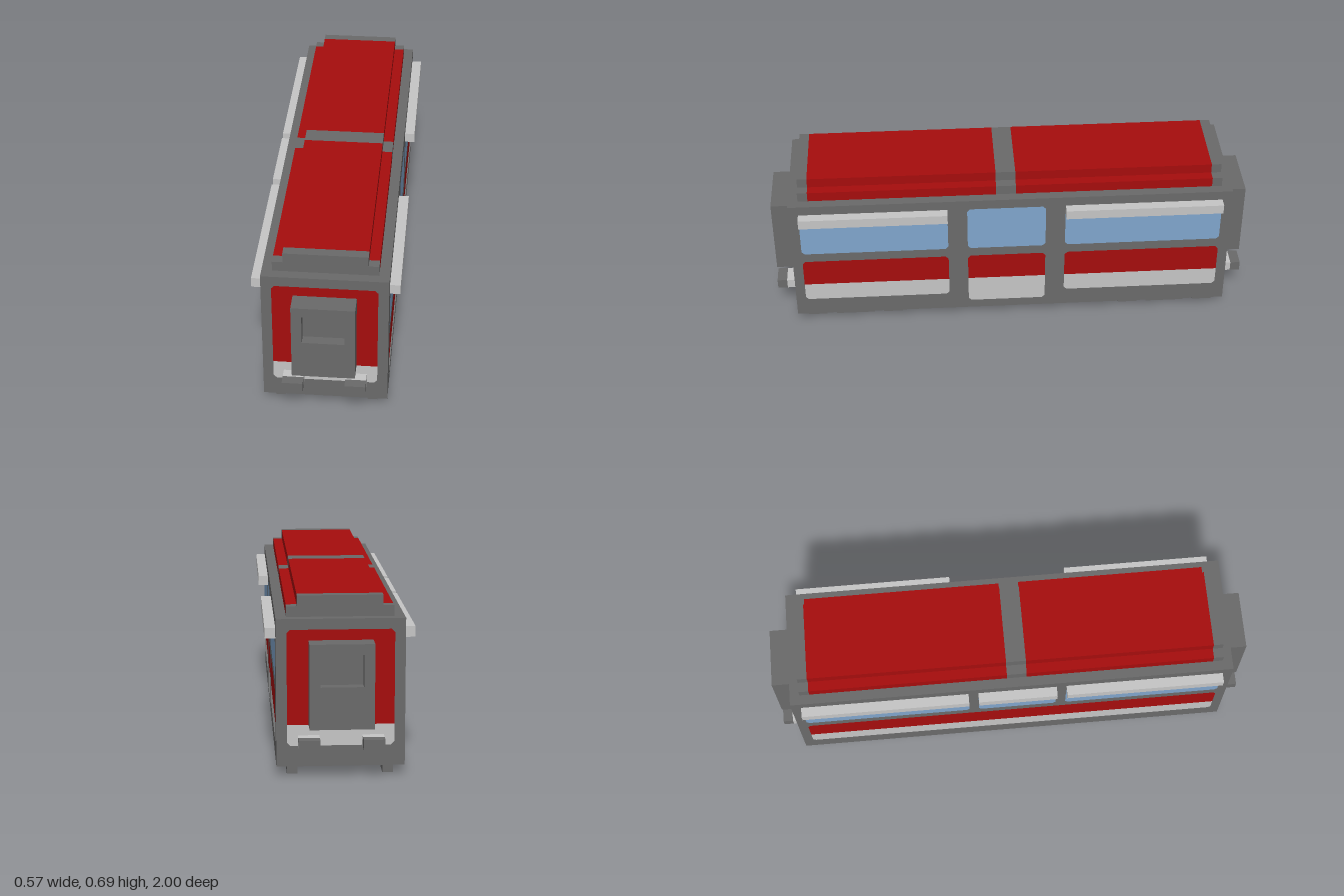
import * as THREE from 'three';

const U = 2 / 49; // block unit of the design
const flat = (name, color) => {
  const m = new THREE.MeshStandardMaterial({ color });
  m.name = name;
  return m;
};

export function createModel() {
  const grey = flat('body grey', 0x6a6a6a);
  const red = flat('red paint', 0xa60d0d);
  const white = flat('light trim', 0xc6c6c6);
  const blue = flat('window blue', 0x80a5cc);

  const train = new THREE.Group();
  train.name = 'trainCar';

  const add = (parent, name, geometry, material) => {
    const mesh = new THREE.Mesh(geometry, material);
    mesh.name = name;
    parent.add(mesh);
    return mesh;
  };

  // Box given by its limits, in block units
  const box = (parent, name, mat, x0, x1, y0, y1, z0, z1) => {
    const g = new THREE.BoxGeometry((x1 - x0) * U, (y1 - y0) * U, (z1 - z0) * U);
    g.translate((x0 + x1) * U / 2, (y0 + y1) * U / 2, (z0 + z1) * U / 2);
    return add(parent, name, g, mat);
  };

  // Rectangle with optionally clipped top and bottom corners, facing +z
  const panel = (x0, x1, y0, y1, top, bottom) => {
    const t = top ? 0.3 : 0, b = bottom ? 0.3 : 0;
    const pts = [
      [x0 + b, y0], [x1 - b, y0], [x1, y0 + b], [x1, y1 - t],
      [x1 - t, y1], [x0 + t, y1], [x0, y1 - t], [x0, y0 + b],
    ].map(([x, y]) => new THREE.Vector2(x * U, y * U));
    const unique = pts.filter((p, i) => !p.equals(pts[(i + 1) % pts.length]));
    return new THREE.ShapeGeometry(new THREE.Shape(unique));
  };

  // Body shell
  box(train, 'body', grey, -6, 6, 1, 15, -22.5, 22.5);

  // Stepped roof in grey and red sections
  const roof = new THREE.Group();
  roof.name = 'roof';
  train.add(roof);
  [[-21.5, -20.5, grey], [-20.5, -0.5, red], [-0.5, 1.5, grey], [1.5, 20.5, red], [20.5, 21.5, grey]]
    .forEach(([z0, z1, mat]) => {
      box(roof, 'roofLowerStep', mat, -5, 5, 15, 16, z0, z1);
      box(roof, 'roofUpperStep', mat, -4, 4, 16, 17, z0, z1);
    });

  // Running blocks under the floor
  for (const s of [-1, 1]) {
    for (const e of [-1, 1]) {
      for (const [a, b] of [[11.5, 13.5], [14.5, 18.5], [19.5, 21.5]]) {
        box(train, 'wheelBlock', grey, Math.min(4 * s, 5 * s), Math.max(4 * s, 5 * s), 0, 1,
          Math.min(a * e, b * e), Math.max(a * e, b * e));
      }
    }
  }

  // Painted panels of one side; local x runs along the car
  const sidePanels = (name, angle, windows, stripes, rails) => {
    const side = new THREE.Group();
    side.name = name;
    side.rotation.y = angle;
    train.add(side);
    const z = 6 * U + 0.002;
    for (const [a, b] of windows) add(side, 'window', panel(a, b, 9, 14, true, true).translate(0, 0, z), blue);
    for (const [a, b, low] of stripes) {
      add(side, 'redStripe', panel(a, b, 5, 8, true, false).translate(0, 0, z), red);
      add(side, 'lightStripe', panel(a, b, low, 5, false, true).translate(0, 0, z), white);
    }
    for (const [a, b] of rails) box(side, 'rainRail', white, a, b, 13, 14, 6, 7);
  };

  // Left side: local x = -z of the car, with a door in the middle
  const leftBays = [[-21.5, -6.5], [5.5, 21.5]];
  sidePanels('leftSide', Math.PI / 2, [...leftBays, [-4.5, 3.5]],
    [[-21.5, -6.5, 3], [-4.5, 3.5, 2], [5.5, 21.5, 3]], leftBays);

  // Right side: local x = z of the car, with unbroken stripes
  const rightBays = [[-21.5, -4.5], [-3.5, 4.5], [5.5, 21.5]];
  sidePanels('rightSide', -Math.PI / 2, rightBays, [[-21.5, 21.5, 3]], rightBays);

  // Door frame with a window opening
  const frame = new THREE.Shape([[-3, 5], [3, 5], [3, 13], [-3, 13]]
    .map(([x, y]) => new THREE.Vector2(x * U, y * U)));
  frame.holes.push(new THREE.Path([[-2, 9], [-2, 12], [2, 12], [2, 9]]
    .map(([x, y]) => new THREE.Vector2(x * U, y * U))));

  // Both ends carry the same panels, gangway door and buffers
  for (const [name, angle] of [['frontEnd', 0], ['backEnd', Math.PI]]) {
    const end = new THREE.Group();
    end.name = name;
    end.rotation.y = angle;
    train.add(end);
    const z = 22.5 * U + 0.002;
    add(end, 'redEndPanel', panel(-5, 5, 5, 14, true, false).translate(0, 0, z), red);
    add(end, 'lightEndPanel', panel(-5, 5, 3, 5, false, true).translate(0, 0, z), white);
    box(end, 'gangwayDoorBack', grey, -3, 3, 5, 13, 22.5, 23.5);
    const g = new THREE.ExtrudeGeometry(frame, { depth: U, bevelEnabled: false });
    add(end, 'gangwayDoorFrame', g.translate(0, 0, 23.5 * U), grey);
    for (const x of [-4, 2]) {
      box(end, 'bufferStem', white, x, x + 2, 3, 4, 22.5, 23.5);
      box(end, 'bufferHead', grey, x, x + 2, 3, 4, 23.5, 24.5);
    }
  }

  return train;
}
